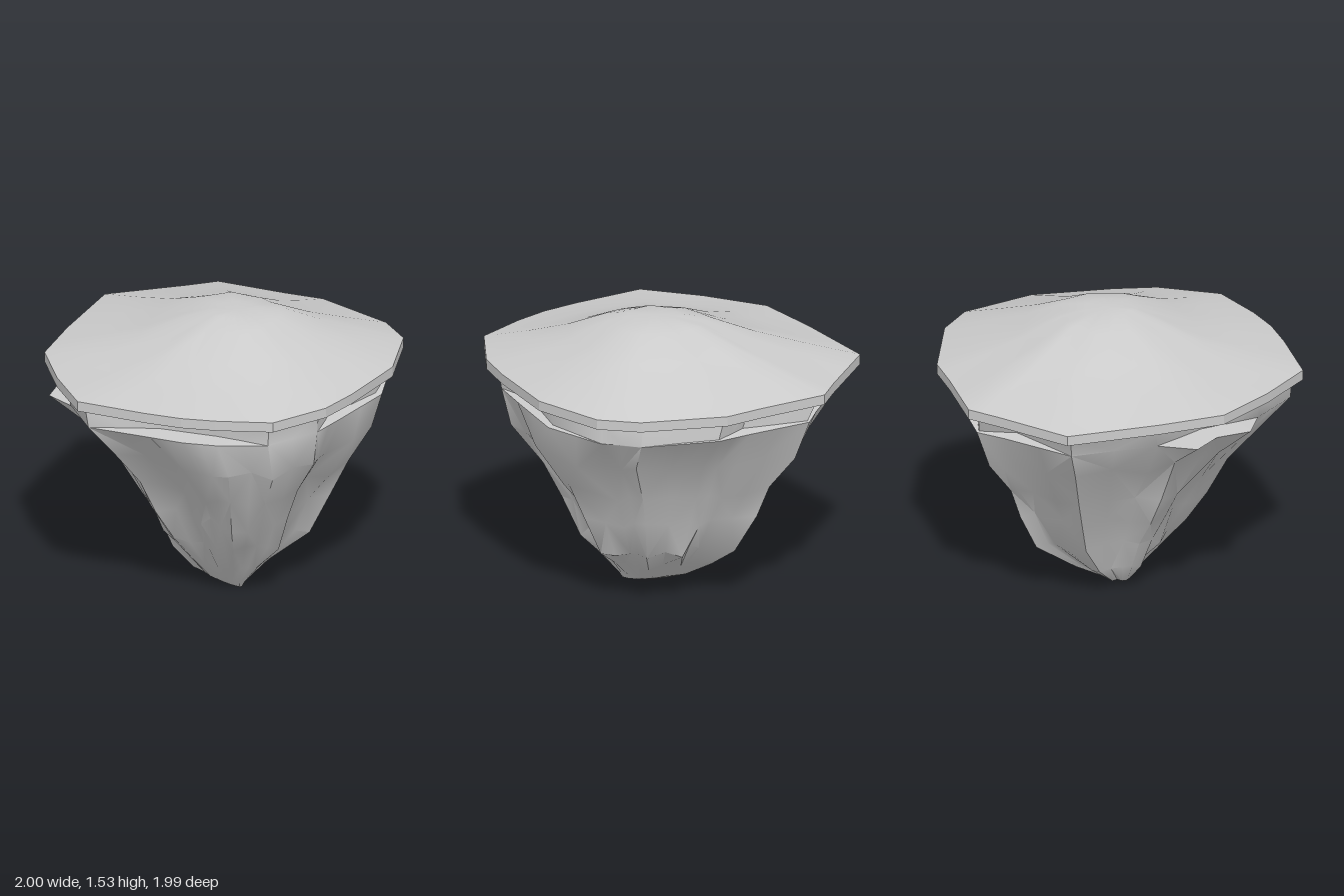
import * as THREE from 'three';
import { toCreasedNormals } from 'three/addons/utils/BufferGeometryUtils.js';

// Corners of the island as [x, z], running from +x towards +z
const CORNERS = [
  [0.24, -1], [0.47, -0.94], [0.76, -0.64], [0.93, -0.23], [1, 0], [0.99, 0.35],
  [0.79, 0.57], [0.64, 0.7], [0.46, 0.81], [0.11, 0.99], [-0.22, 0.87], [-0.55, 0.7],
  [-0.75, 0.39], [-1, -0.06], [-0.83, -0.48], [-0.77, -0.65], [-0.42, -0.83], [-0.23, -0.94],
];
// Each corner followed by the midpoint of its edge
const RIM = CORNERS.flatMap(([x, z], i) => {
  const [nx, nz] = CORNERS[(i + 1) % CORNERS.length];
  return [[x, z], [(x + nx) / 2, (z + nz) / 2]];
});

// Skin a stack of equally long closed rings
function loft(rings, crease) {
  const n = rings[0].length;
  const index = [];
  for (let i = 0; i < rings.length - 1; i++) {
    for (let j = 0; j < n; j++) {
      const k = (j + 1) % n;
      const a = i * n + j, b = i * n + k, c = a + n, d = b + n;
      // Alternate the diagonals so the facets look broken
      if ((i + j) % 2) index.push(a, c, b, b, c, d);
      else index.push(a, c, d, a, d, b);
    }
  }
  const g = new THREE.BufferGeometry();
  g.setAttribute('position', new THREE.Float32BufferAttribute(rings.flat(2), 3));
  g.setIndex(index);
  g.computeVertexNormals();
  return toCreasedNormals(g, crease);
}

function seeded(seed) {
  return () => {
    seed = (seed * 16807) % 2147483647;
    return seed / 2147483647;
  };
}

export function createModel() {
  const group = new THREE.Group();
  const material = new THREE.MeshStandardMaterial({
    color: 0xcccccc, side: THREE.DoubleSide,
  });
  const add = (name, geometry) => {
    const mesh = new THREE.Mesh(geometry, material);
    mesh.name = name;
    group.add(mesh);
  };

  // Gentle hill: the rim shrinks towards an off-centre summit, fuller at the back and sides
  const summit = [0.12, -0.08];
  const hill = [[1, 1.265], [0.74, 1.32], [0.5, 1.39], [0.28, 1.485], [0.13, 1.53], [0, 1.53]];
  add('hillTop', loft(hill.map(([t, y]) => RIM.map(([x, z]) => {
    const lift = t > 0.2 ? (Math.abs(x) - z) * 0.1 * t * (1 - t) : 0;
    return [summit[0] + (x - summit[0]) * t, y + lift, summit[1] + (z - summit[1]) * t];
  })), 0.9));

  // Thin slab edge with a flat underside
  add('slabEdge', loft([[0, 1.21], [1, 1.21], [1, 1.265]].map(([t, y]) =>
    RIM.map(([x, z]) => [x * t, y, z * t])), 0.15));

  // Rock: each ring is [y, xMin, xMax, zMin, zMax], bottom to top
  const levels = [
    [0, 0.15, 0.15, 0, 0],
    [0, 0.02, 0.27, -0.04, 0.04],
    [0.03, -0.11, 0.29, -0.09, 0.09],
    [0.15, -0.25, 0.39, -0.26, 0.2],
    [0.3, -0.36, 0.5, -0.49, 0.35],
    [0.5, -0.49, 0.6, -0.58, 0.47],
    [0.68, -0.6, 0.7, -0.67, 0.58],
    [0.9, -0.76, 0.87, -0.81, 0.77],
    [1.1, -0.89, 0.92, -0.94, 0.93],
    [1.105, -0.89, 0.92, -0.94, 0.93],
    [1.215, -0.95, 0.94, -0.93, 0.94],
  ];
  // Corners pushed inwards form gullies, negative ones bulge into buttresses
  const gully = [0, 0.03, -0.04, 0.05, 0, -0.01, -0.1, -0.05, 0.03, 0, 0.02, 0, 0.02, 0, -0.03, -0.07, 0, 0.05];
  // Corners where the rock stops short and leaves a recess below the slab
  const recess = [0, 0, 0.03, 0.1, 0, 0, 0.12, 0.15, 0.15, 0, 0, 0.16, 0, 0, 0.1, 0, 0.1, 0.02];
  // Outcrops as 'ring:column' -> outward factor
  const outcrops = {
    '8:21': 1.11, '8:23': 1.15, '7:23': 1.08, '7:21': 1.04,
    '2:22': 1.25, '2:23': 1.35, '2:24': 1.25, '3:22': 1.15, '3:23': 1.22, '3:24': 1.15,
    '5:23': 1.1, '6:23': 1.12, '4:23': 1.06, '5:11': 1.06, '5:12': 1.06,
    '7:5': 1.04, '6:5': 1.06, '6:4': 1.04, '5:4': 1.04,
    '6:29': 1.04, '5:30': 1.06, '4:30': 1.06,
  };
  const between = (list, j) => {
    const k = Math.floor(j / 2);
    return j % 2 ? (list[k] + list[(k + 1) % list.length]) / 2 : list[k];
  };
  const rand = seeded(77);
  add('rockBody', loft(levels.map(([y, x0, x1, z0, z1], i) => RIM.map(([x, z], j) => {
    const depth = between(gully, j);
    let s = 1;
    let dy = 0;
    if (i > 2 && i < 8) {
      s = 1 - depth - (depth > 0 ? rand() * 0.06 : 0);
      dy = (rand() - 0.5) * (i === 3 ? 0.03 : 0.06);
    } else if (i === 8) {
      s = 1 - depth * 0.2;
    } else if (i > 8) {
      s = 1 - between(recess, j);
    }
    s *= outcrops[i + ':' + j] ?? 1;
    return [
      (x0 + x1) / 2 + (x * (x1 - x0)) / 2 * s, y + dy,
      (z0 + z1) / 2 + (z * (z1 - z0)) / 2 * s,
    ];
  })), 0.65));

  return group;
}
